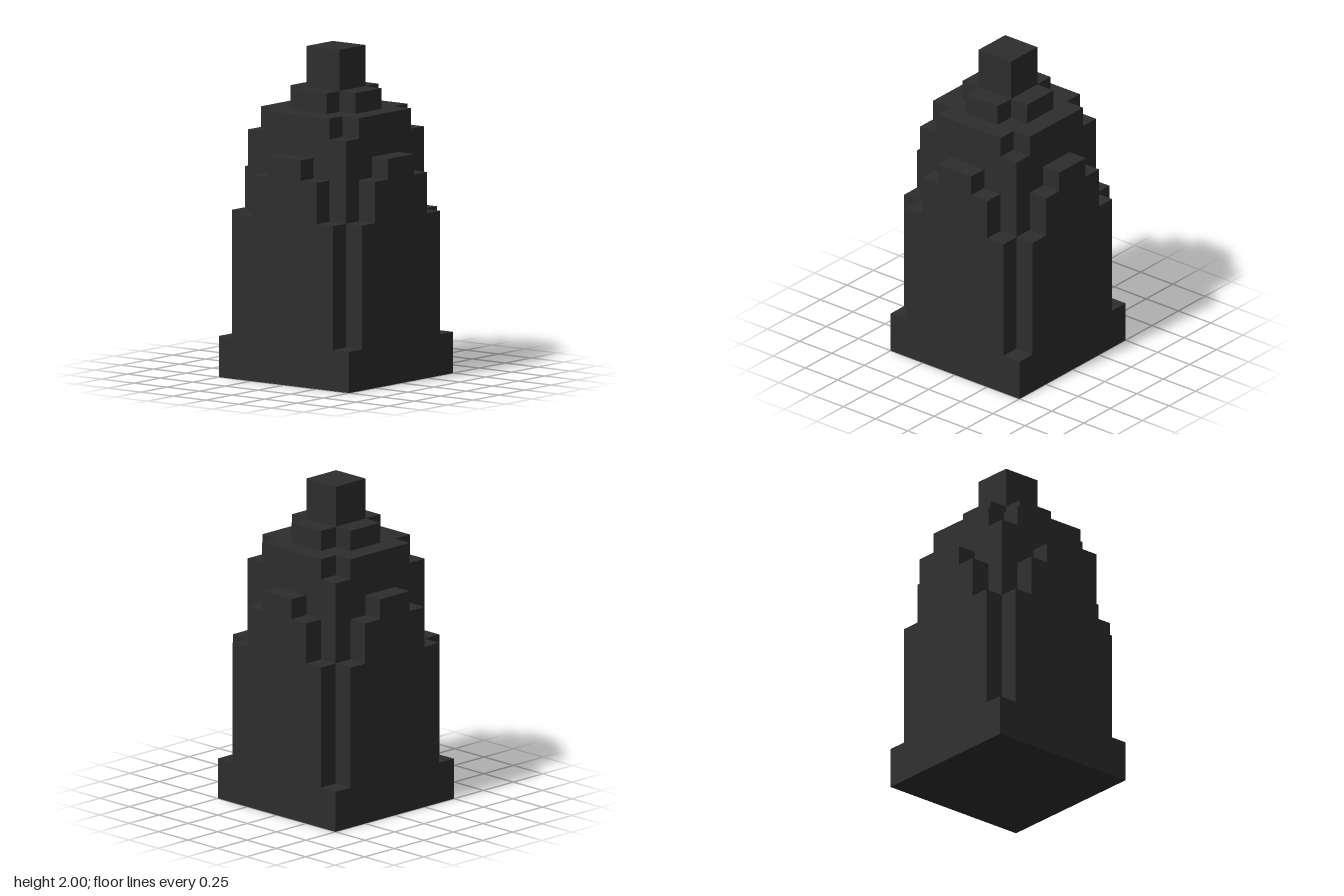
import * as THREE from 'three';

const U = 0.125; // one block

// Outline from [x, y] pairs given in blocks
function outline(points) {
  return new THREE.Shape(points.map(([x, y]) => new THREE.Vector2(x * U, y * U)));
}

// Plus-shaped outline: a square of half size a with corners cut back to half size b
function plus(a, b) {
  return outline([
    [-b, -a], [b, -a], [b, -b], [a, -b], [a, b], [b, b],
    [b, a], [-b, a], [-b, b], [-a, b], [-a, -b], [-b, -b],
  ]);
}

export function createModel() {
  const group = new THREE.Group();
  const charcoal = new THREE.MeshStandardMaterial({ color: 0x2d2d2d });
  charcoal.name = 'charcoal';

  const add = (name, geometry, y = 0) => {
    const mesh = new THREE.Mesh(geometry, charcoal);
    mesh.name = name;
    mesh.position.y = y * U;
    group.add(mesh);
    return mesh;
  };
  // Square block of the given width between two heights, in blocks
  const block = (name, width, y0, y1) =>
    add(name, new THREE.BoxGeometry(width * U, (y1 - y0) * U, width * U), (y0 + y1) / 2);
  // One-block-high slab with notched corners
  const slab = (name, a, b, y) => {
    const g = new THREE.ExtrudeGeometry(plus(a, b), { depth: U, bevelEnabled: false });
    add(name, g.rotateX(-Math.PI / 2), y);
  };

  // Stacked body, from plinth to spire
  block('plinth', 8, 0, 2);
  block('core', 6, 2, 12);
  slab('shoulder', 3, 2, 12);
  slab('collar', 2, 1, 13);
  block('spire', 2, 14, 16);

  // Stepped panel on each of the four sides
  const panel = new THREE.ExtrudeGeometry(outline([
    [-3, 2], [3, 2], [3, 8], [2, 8], [2, 10], [1, 10],
    [1, 11], [-1, 11], [-1, 10], [-2, 10], [-2, 8], [-3, 8],
  ]), { depth: U, bevelEnabled: false }).translate(0, 0, 3 * U);
  ['front', 'left', 'back', 'right'].forEach((side, i) => {
    add(side + 'Panel', panel).rotation.y = i * Math.PI / 2;
  });

  return group;
}
